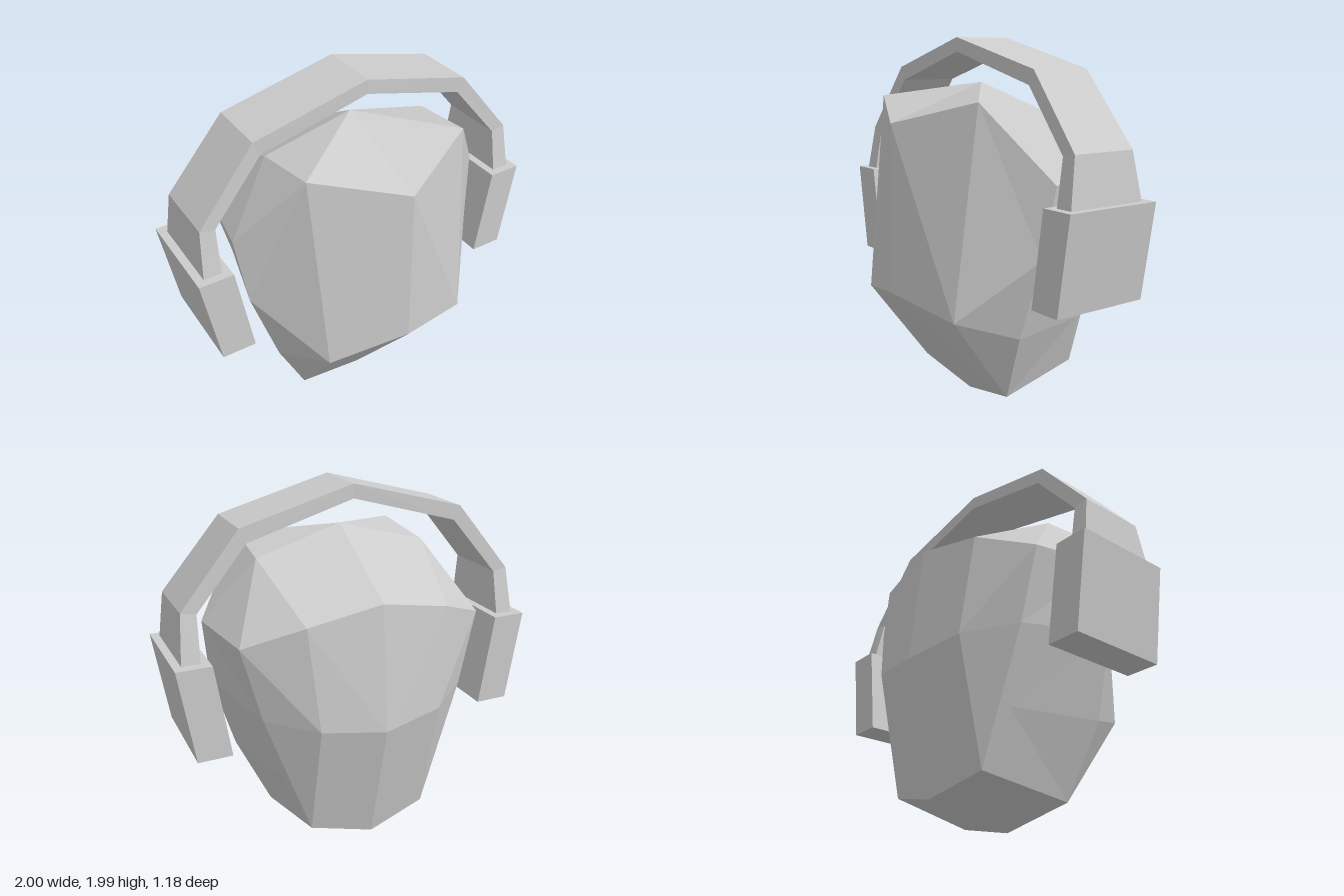
import * as THREE from 'three';

const material = new THREE.MeshStandardMaterial({ color: 0xcccccc, flatShading: true });

// Faceted geometry from polygons on the +x half, mirrored to -x
function mirroredGeometry(polygons) {
  const positions = [];
  const addFan = (p) => {
    for (let i = 1; i < p.length - 1; i++) positions.push(...p[0], ...p[i], ...p[i + 1]);
  };
  for (const poly of polygons) {
    addFan(poly);
    const m = poly.map(([x, y, z]) => [-x, y, z]);
    addFan([m[0], ...m.slice(1).reverse()]);
  }
  const geometry = new THREE.BufferGeometry();
  geometry.setAttribute('position', new THREE.Float32BufferAttribute(positions, 3));
  geometry.computeVertexNormals();
  return geometry;
}

function part(name, geometry) {
  const mesh = new THREE.Mesh(geometry, material);
  mesh.name = name;
  return mesh;
}

// Head: three half rings from front centre round to back centre
function createHead() {
  const crown = [0, 1.75, 0];
  const temple = [0.48, 1.62, -0.03];
  const rings = [
    [[0, 1.55, 0.57], [0.46, 1.67, 0.35], [0.75, 1.28, 0.10], [0.68, 1.26, -0.32], [0.39, 1.38, -0.48], [0, 1.46, -0.52]],
    [[0, 0.66, 0.59], [0.43, 0.58, 0.48], [0.71, 0.91, 0.15], [0.58, 0.86, -0.34], [0.34, 0.83, -0.53], [0, 0.79, -0.59]],
    [[0, 0, 0.08], [0.40, 0.09, 0.12], [0.58, 0.48, 0.18], [0.46, 0.47, -0.31], [0.34, 0.17, -0.38], [0, 0.09, -0.43]],
  ];
  const polygons = [];
  for (let r = 0; r < 2; r++) {
    for (let c = 0; c < 5; c++) {
      polygons.push([rings[r][c], rings[r + 1][c], rings[r + 1][c + 1], rings[r][c + 1]]);
    }
  }
  // Top of the skull
  const t = rings[0];
  polygons.push([crown, t[0], t[1], temple], [crown, temple, t[4], t[5]]);
  for (let c = 1; c < 4; c++) polygons.push([temple, t[c], t[c + 1]]);
  // Underside of the jaw
  const b = rings[2];
  polygons.push([b[0], b[5], b[4], b[1]], [b[1], b[4], b[3], b[2]]);
  return part('head', mirroredGeometry(polygons));
}

// Headband: rectangular sections from the top centre down into the ear cup
function createHeadband() {
  // outer x, outer y, inner x, inner y, front z, back z
  const sections = [
    [0, 1.985, 0, 1.91, 0.16, -0.175],
    [0.615, 1.825, 0.58, 1.75, 0.14, -0.20],
    [0.93, 1.45, 0.85, 1.435, 0.155, -0.215],
    [0.96, 1.16, 0.86, 1.16, 0.20, -0.27],
  ].map(([ox, oy, ix, iy, f, k]) => [[ox, oy, f], [ox, oy, k], [ix, iy, k], [ix, iy, f]]);
  const polygons = [];
  for (let i = 0; i < sections.length - 1; i++) {
    const [a, b] = [sections[i], sections[i + 1]];
    for (let k = 0; k < 4; k++) {
      const n = (k + 1) % 4;
      polygons.push([a[k], b[k], b[n], a[n]]);
    }
  }
  polygons.push(sections.at(-1));
  return part('headband', mirroredGeometry(polygons));
}

// Ear cup: box leaning in towards the jaw
function createEarCup(side) {
  const geometry = new THREE.BoxGeometry(0.185, 0.51, 0.555);
  const p = geometry.attributes.position;
  for (let i = 0; i < p.count; i++) p.setX(i, p.getX(i) + side * 0.148 * p.getY(i));
  geometry.computeVertexNormals();
  const cup = part(side > 0 ? 'leftEarCup' : 'rightEarCup', geometry);
  cup.position.set(side * 0.869, 0.943, -0.04);
  return cup;
}

export function createModel() {
  const model = new THREE.Group();
  model.name = 'headWithHeadphones';
  const headphones = new THREE.Group();
  headphones.name = 'headphones';
  headphones.add(createHeadband(), createEarCup(1), createEarCup(-1));
  model.add(createHead(), headphones);
  return model;
}
